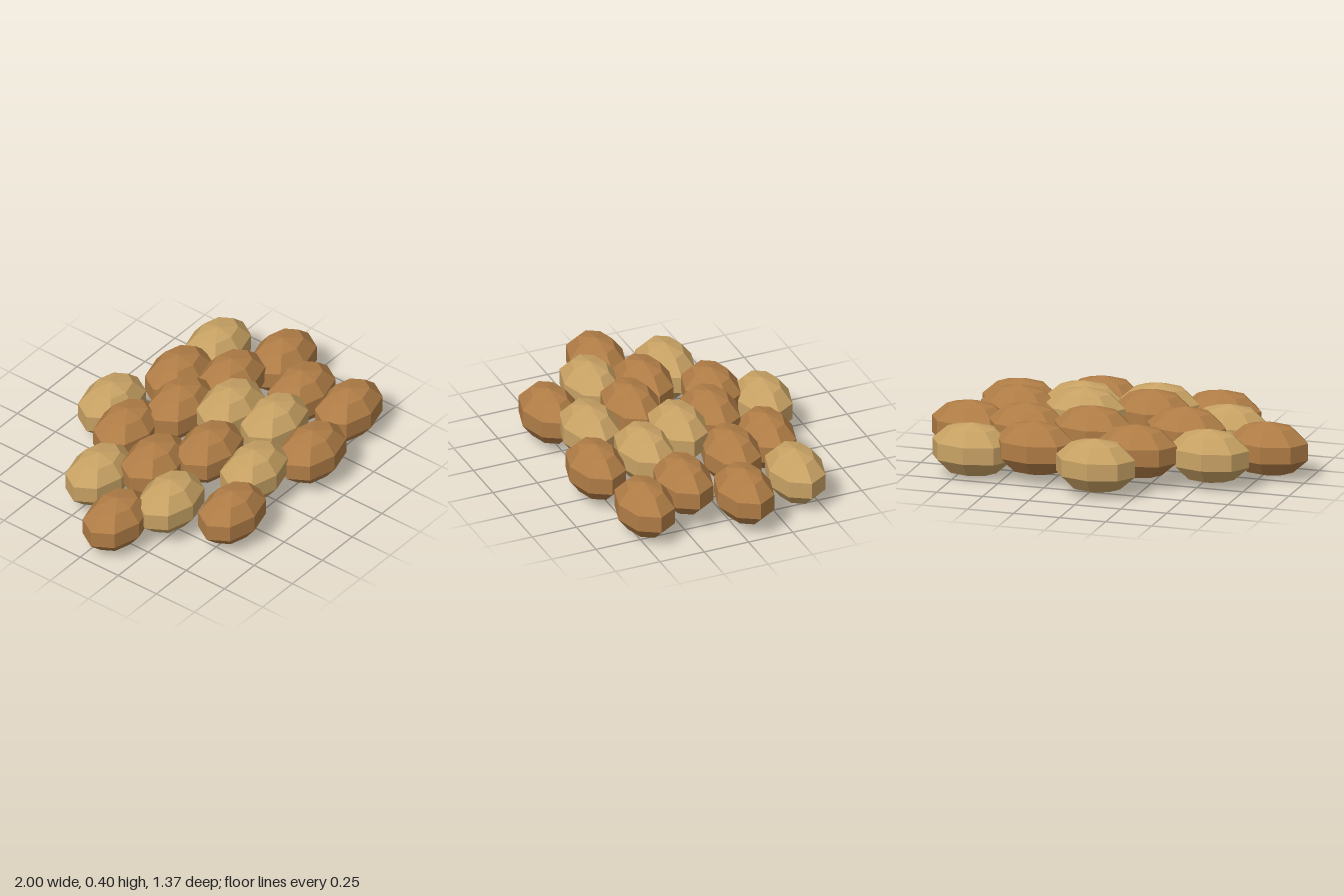
import * as THREE from 'three';

export function createModel() {
  const group = new THREE.Group();
  group.name = 'potatoPile';

  const brown = new THREE.MeshStandardMaterial({ color: 0xb07d46, flatShading: true });
  brown.name = 'russet brown';
  const tan = new THREE.MeshStandardMaterial({ color: 0xc8a264, flatShading: true });
  tan.name = 'pale tan';

  // One faceted, elongated tuber shared by the whole pile
  const tuber = new THREE.SphereGeometry(1, 8, 5);
  tuber.scale(0.2255, 0.145, 0.1545);

  // Centres [x, y, z], forming a shallow heap
  const brownSpots = [
    [0.33, 0.18, -0.395], [-0.2, 0.19, -0.32], [0.08, 0.23, -0.19],
    [0.45, 0.2, -0.145], [0.785, 0.165, -0.07], [-0.365, 0.215, -0.01],
    [-0.785, 0.15, 0.07], [-0.13, 0.24, 0.165], [0.605, 0.19, 0.195],
    [-0.385, 0.163, 0.515], [0.26, 0.175, 0.535], [0.68, 0.15, 0.445],
  ];
  const tanSpots = [
    [-0.045, 0.16, -0.54], [0.67, 0.147, -0.41], [-0.56, 0.17, -0.22],
    [0.2, 0.255, 0.045], [-0.525, 0.18, 0.22], [0.28, 0.22, 0.27],
    [-0.08, 0.2, 0.42],
  ];

  const addPotatoes = (spots, material, name) => spots.forEach((p, i) => {
    const mesh = new THREE.Mesh(tuber, material);
    mesh.position.set(...p);
    mesh.name = name + (i + 1);
    group.add(mesh);
  });
  addPotatoes(brownSpots, brown, 'brownPotato');
  addPotatoes(tanSpots, tan, 'tanPotato');

  return group;
}
